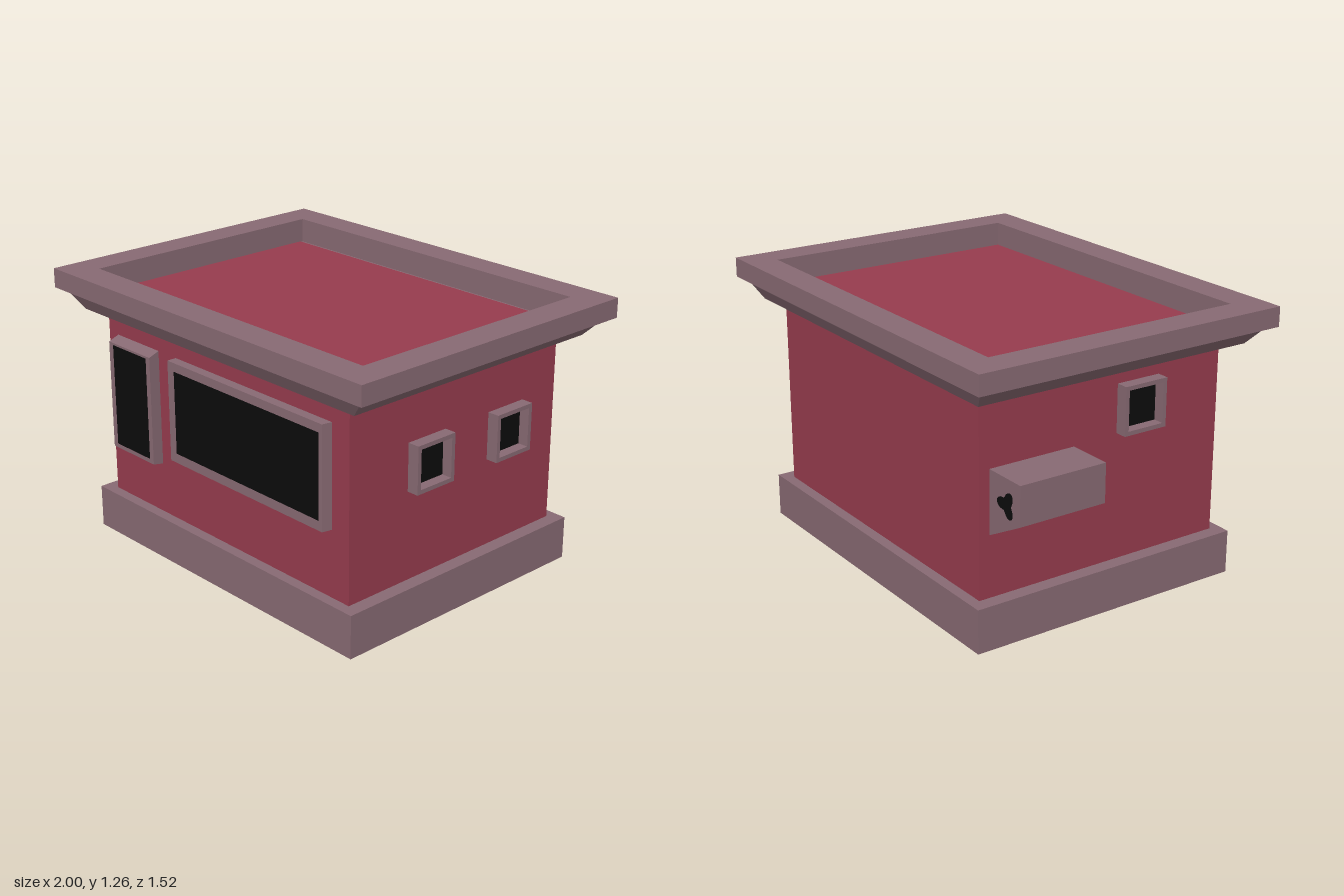
import * as THREE from 'three';

const mat = (name, color) => {
  const m = new THREE.MeshStandardMaterial({ color });
  m.name = name;
  return m;
};

export function createModel() {
  const model = new THREE.Group();
  model.name = 'smallBuilding';
  const red = mat('wallRed', 0x973c4e);
  const trim = mat('trimMauve', 0x886a73);
  const black = mat('glassBlack', 0x0c0c0c);

  const add = (name, geometry, material, parent = model) => {
    const mesh = new THREE.Mesh(geometry, material);
    mesh.name = name;
    parent.add(mesh);
    return mesh;
  };
  // box given by its half width, half depth and height range
  const block = (name, hx, hz, y0, y1, material) => {
    const mesh = add(name, new THREE.BoxGeometry(hx * 2, y1 - y0, hz * 2), material);
    mesh.position.y = (y0 + y1) / 2;
    return mesh;
  };
  const polygon = (type, pts) => new type(pts.map(([x, y]) => new THREE.Vector2(x, y)));
  const rect = (type, x0, x1, y0, y1) => polygon(type, [[x0, y0], [x1, y0], [x1, y1], [x0, y1]]);
  // rectangular ring extruded along +z; outer and inner are [x0, x1, y0, y1]
  const ring = (outer, inner, depth) => {
    const shape = rect(THREE.Shape, ...outer);
    shape.holes.push(rect(THREE.Path, ...inner));
    return new THREE.ExtrudeGeometry(shape, { depth, bevelEnabled: false });
  };

  // Base and walls
  block('base', 0.855, 0.67, 0, 0.2, trim);
  block('walls', 0.79, 0.62, 0.2, 1.09, red);

  // Cornice that widens upward
  const cornice = new THREE.BoxGeometry(2, 0.065, 2);
  const cp = cornice.attributes.position;
  for (let i = 0; i < cp.count; i++) {
    const top = cp.getY(i) > 0;
    cp.setX(i, cp.getX(i) * (top ? 0.942 : 0.88));
    cp.setZ(i, cp.getZ(i) * (top ? 0.718 : 0.683));
  }
  cornice.computeVertexNormals();
  add('cornice', cornice, trim).position.y = 1.1125;

  // Roof rim around a sunken roof
  const hole = [-0.855, 0.855, -0.615, 0.62];
  const roofRing = (name, hx, hz, y0, y1) => {
    const mesh = add(name, ring([-hx, hx, -hz, hz], hole, y1 - y0), trim);
    mesh.rotation.x = -Math.PI / 2;
    mesh.position.y = y0;
  };
  roofRing('corniceBand', 0.942, 0.718, 1.145, 1.17);
  roofRing('roofRim', 1, 0.761, 1.17, 1.26);
  block('roofFloor', 0.855, 0.61, 1.143, 1.148, red).position.z = 0.005;

  // Framed window; flare moves the outer edges next to the wall
  const frameWindow = (name, outer, inner, depth, glassZ, flare = {}) => {
    const group = new THREE.Group();
    group.name = name;
    const geo = ring(outer, inner, depth);
    const p = geo.attributes.position;
    const at = (a, b) => Math.abs(a - b) < 1e-4;
    for (let i = 0; i < p.count; i++) {
      if (p.getZ(i) > 1e-4) continue;
      if (at(p.getX(i), outer[1])) p.setX(i, outer[1] + (flare.right || 0));
      if (at(p.getY(i), outer[2])) p.setY(i, outer[2] - (flare.bottom || 0));
      if (at(p.getY(i), outer[3])) p.setY(i, outer[3] + (flare.top || 0));
    }
    geo.computeVertexNormals();
    add('frame', geo, trim, group);
    const [x0, x1, y0, y1] = inner;
    const glass = add('glass', new THREE.BoxGeometry(x1 - x0, y1 - y0, 0.006), black, group);
    glass.position.set((x0 + x1) / 2, (y0 + y1) / 2, glassZ);
    model.add(group);
    return group;
  };

  // Front windows, glazed flush with their frames
  frameWindow('tallFrontWindow', [-0.725, -0.428, 0.45, 0.96], [-0.695, -0.455, 0.47, 0.95],
    0.052, 0.05, { bottom: 0.01, top: 0.02 }).position.z = 0.62;
  frameWindow('wideFrontWindow', [-0.305, 0.68, 0.51, 0.98], [-0.262, 0.66, 0.555, 0.94],
    0.046, 0.044, { right: 0.01 }).position.z = 0.62;

  // Small deep side windows
  const sideWindow = (name, side, z, y) => {
    const w = frameWindow(name, [-0.109, 0.109, -0.109, 0.109], [-0.09, 0.09, -0.09, 0.09], 0.056, 0.003);
    w.rotation.y = side * Math.PI / 2;
    w.position.set(side * 0.79, y, z);
  };
  sideWindow('leftWindowFront', 1, 0.18, 0.718);
  sideWindow('leftWindowBack', 1, -0.302, 0.718);
  sideWindow('rightWindow', -1, 0.18, 0.887);

  // Wall unit with sloping underside and a three-lobed vent at each end
  const unit = polygon(THREE.Shape, [[-0.78, 0.475], [-0.78, 0.768], [-1, 0.768], [-1, 0.592]]);
  add('wallUnit', new THREE.ExtrudeGeometry(unit, { depth: 0.42, bevelEnabled: false }), trim).position.z = -0.57;
  const lobes = [];
  for (let i = 0; i < 36; i++) {
    const a = (i / 36) * Math.PI * 2;
    const r = 0.047 + 0.016 * Math.cos(3 * a);
    lobes.push([r * Math.cos(a), r * Math.sin(a)]);
  }
  const vent = new THREE.ExtrudeGeometry(polygon(THREE.Shape, lobes), { depth: 0.006, bevelEnabled: false });
  for (const [name, z] of [['frontVent', -0.154], ['backVent', -0.572]]) {
    add(name, vent, black).position.set(-0.908, 0.655, z);
  }

  return model;
}
